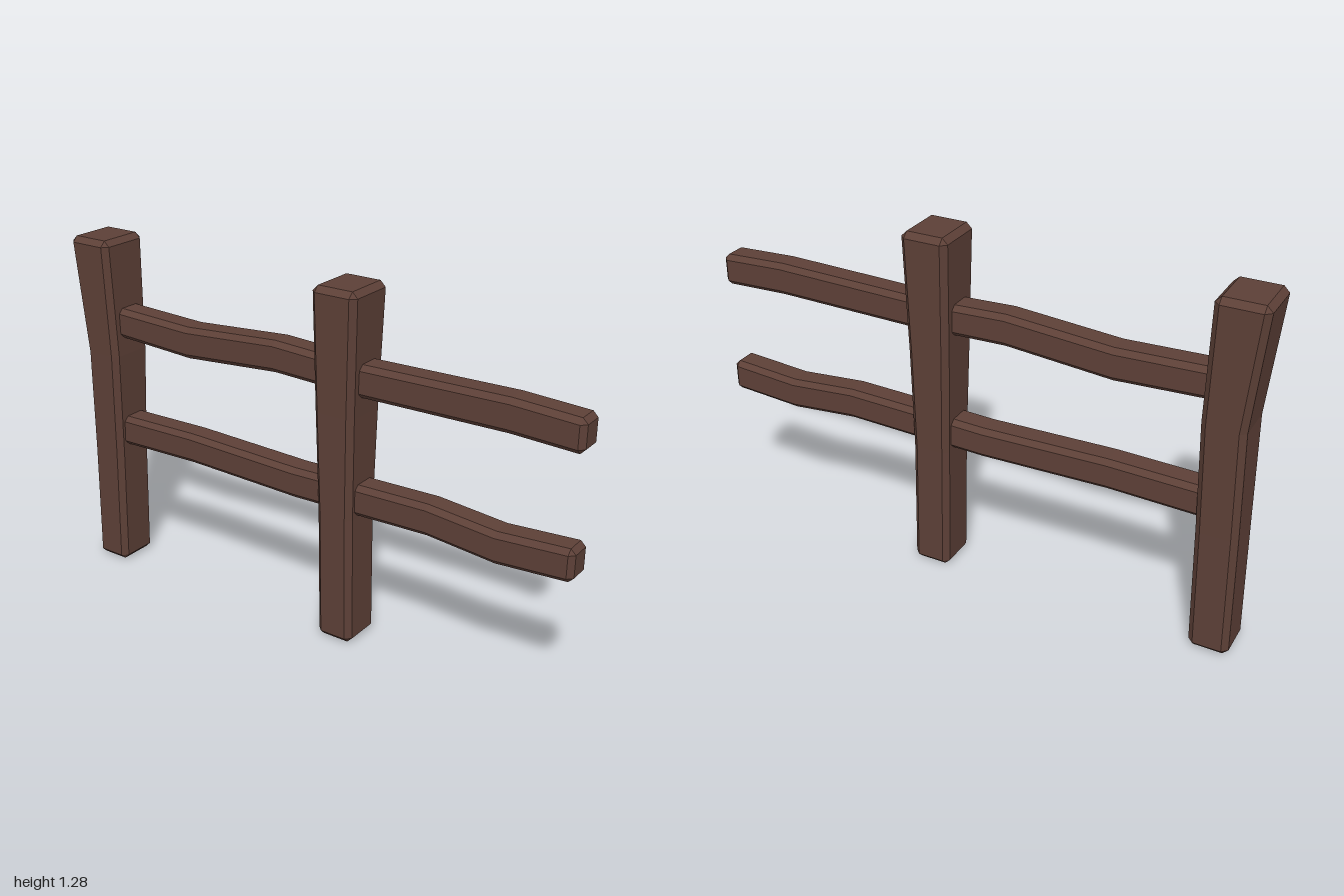
import * as THREE from 'three';

const wood = new THREE.MeshStandardMaterial({ color: 0x5d4037 });
wood.name = 'dark brown wood';

// Octagonal ring: a rectangle with its corners cut by c
function ring(t, lo, hi, half, c) {
  const corners = [
    [hi, half - c], [hi - c, half], [lo + c, half], [lo, half - c],
    [lo, -half + c], [lo + c, -half], [hi - c, -half], [hi, -half + c],
  ];
  return corners.map(([a, b]) => new THREE.Vector3(a, t, b));
}

// Bevelled beam along +y through stations [t, low edge, high edge, half depth]
function beam(stations, c) {
  const end = ([t, lo, hi, half], dir) => ring(t + dir * c, lo + c, hi - c, half - c, 0);
  const rings = [
    end(stations[0], -1),
    ...stations.map(([t, lo, hi, half]) => ring(t, lo, hi, half, c)),
    end(stations[stations.length - 1], 1),
  ];
  const points = [];
  const tri = (p, q, r) => {
    if (new THREE.Triangle(p, q, r).getArea() > 1e-8) points.push(p, q, r);
  };
  const last = rings[rings.length - 1];
  for (let i = 0; i < 8; i++) {
    const j = (i + 1) % 8;
    for (let k = 0; k < rings.length - 1; k++) {
      const lower = rings[k], upper = rings[k + 1];
      tri(lower[i], upper[i], upper[j]);
      tri(lower[i], upper[j], lower[j]);
    }
    // End caps
    tri(rings[0][0], rings[0][i], rings[0][j]);
    tri(last[0], last[j], last[i]);
  }
  const geometry = new THREE.BufferGeometry().setFromPoints(points);
  geometry.computeVertexNormals();
  return geometry;
}

export function createModel() {
  const fence = new THREE.Group();
  fence.name = 'fence';

  const add = (name, geometry) => {
    const mesh = new THREE.Mesh(geometry, wood);
    mesh.name = name;
    fence.add(mesh);
  };

  // Posts: stations are [y, left x, right x, half depth]
  add('endPost', beam([
    [0.02, -0.985, -0.845, 0.081],
    [0.46, -0.975, -0.832, 0.082],
    [0.85, -0.965, -0.819, 0.09],
    [1.26, -1.0, -0.826, 0.1],
  ], 0.02));
  add('middlePost', beam([
    [0.02, 0.072, 0.211, 0.081],
    [0.48, 0.068, 0.207, 0.082],
    [0.85, 0.061, 0.214, 0.09],
    [1.26, 0.056, 0.227, 0.1],
  ], 0.02));

  // Rails: stations are [x, bottom y, top y, half depth]; turned to run along x
  const turn = new THREE.Matrix4().set(0, 1, 0, 0, 1, 0, 0, 0, 0, 0, -1, 0, 0, 0, 0, 1);
  const rails = {
    upperLongRail: [
      [-0.88, 0.918, 1.028], [-0.51, 0.9, 1.015],
      [-0.13, 0.93, 1.043], [0.12, 0.922, 1.032],
    ],
    upperShortRail: [[0.16, 0.916, 1.03], [0.75, 0.924, 1.041], [0.98, 0.915, 1.03]],
    lowerLongRail: [
      [-0.88, 0.489, 0.603], [-0.51, 0.498, 0.61],
      [-0.05, 0.486, 0.598], [0.12, 0.49, 0.603],
    ],
    lowerShortRail: [
      [0.16, 0.489, 0.603], [0.48, 0.497, 0.61],
      [0.73, 0.473, 0.587], [0.98, 0.488, 0.603],
    ],
  };
  for (const [name, path] of Object.entries(rails)) {
    const stations = path.map(([x, low, high]) => [x, low, high, 0.053]);
    add(name, beam(stations, 0.018).applyMatrix4(turn));
  }

  return fence;
}
